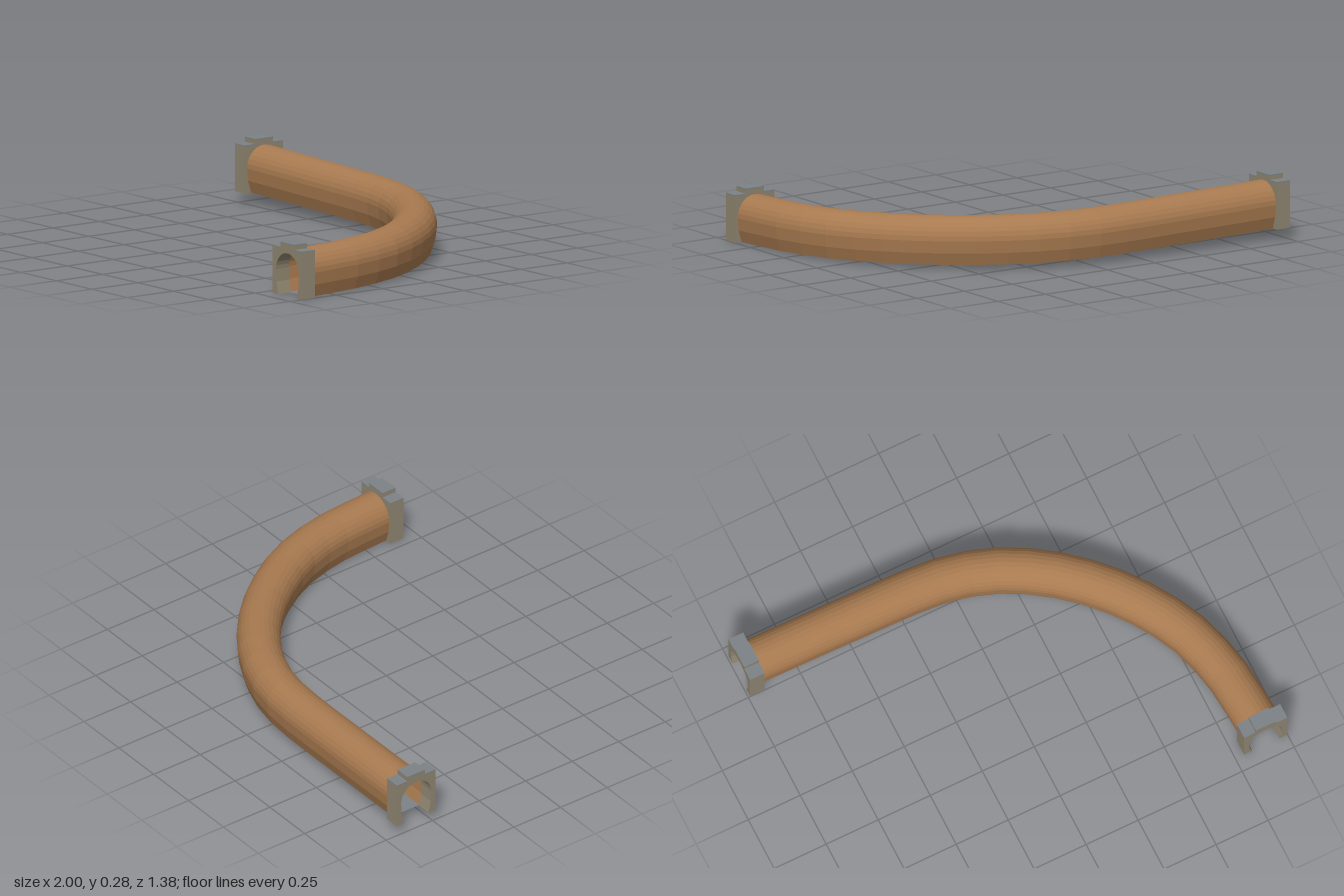
import * as THREE from 'three';

const brick = new THREE.MeshStandardMaterial({ name: 'brown brick', color: 0xa87a50, flatShading: true, side: THREE.DoubleSide });
const stone = new THREE.MeshStandardMaterial({ name: 'tan stone', color: 0x8f8570, flatShading: true });
const slate = new THREE.MeshStandardMaterial({ name: 'grey slate', color: 0x7c8286, flatShading: true, side: THREE.DoubleSide });

const RISE = 0.05;

// Plan of the tunnel centreline, straight run then a quarter bend
const path = new THREE.CatmullRomCurve3([
  [-0.93, -0.591], [-0.5, -0.585], [-0.1, -0.574], [0.05, -0.552], [0.217, -0.495], [0.4, -0.387],
  [0.559, -0.249], [0.69, -0.09], [0.8, 0.1], [0.868, 0.33], [0.895, 0.62],
].map(([x, z]) => new THREE.Vector3(x, 0, z)), false, 'centripetal');

// Horseshoe section from right foot over the crown to left foot
function horseshoe(foot, radius, centreY, steps) {
  const pts = [[foot, 0], [(foot + radius) / 2 + 0.006, centreY * 0.5]];
  for (let i = 0; i <= steps; i++) {
    const a = Math.PI * i / steps;
    pts.push([radius * Math.cos(a), centreY + radius * Math.sin(a)]);
  }
  pts.push([-pts[1][0], pts[1][1]], [-foot, 0]);
  return pts;
}

// Sweep an open section along the centreline, descending evenly
function sweep(section, rings) {
  const pos = [], index = [], n = section.length;
  for (let i = 0; i <= rings; i++) {
    const t = i / rings;
    const p = path.getPointAt(t), d = path.getTangentAt(t);
    for (const [u, v] of section) pos.push(p.x - d.z * u, RISE * (1 - t) + v, p.z + d.x * u);
  }
  for (let i = 0; i < rings; i++) {
    for (let j = 0; j < n - 1; j++) {
      const a = i * n + j, b = a + n;
      index.push(a, a + 1, b, a + 1, b + 1, b);
    }
  }
  const g = new THREE.BufferGeometry();
  g.setAttribute('position', new THREE.Float32BufferAttribute(pos, 3));
  g.setIndex(index);
  g.computeVertexNormals();
  return g;
}

function mesh(name, geometry, material, x = 0, y = 0, z = 0) {
  const m = new THREE.Mesh(geometry, material);
  m.name = name;
  m.position.set(x, y, z);
  return m;
}

// Stone gateway with a raised keystone block and slate caps
function portal(name) {
  const g = new THREE.Group();
  g.name = name;
  const W = 0.104, K = 0.048, H = 0.206, T = 0.228, D = 0.07, cap = 0.004;
  const outline = [[-0.065, 0], [-W, 0], [-W, H], [-K, H], [-K, T], [K, T], [K, H], [W, H], [W, 0]];
  const opening = horseshoe(0.065, 0.081, 0.107, 14).slice(0, -1);
  const shape = new THREE.Shape([...outline, ...opening].map(([x, y]) => new THREE.Vector2(x, y)));
  const body = new THREE.ExtrudeGeometry(shape, { depth: D, bevelEnabled: false });
  g.add(mesh('archBlock', body, stone, 0, 0, -D / 2));
  g.add(mesh('keystoneCap', new THREE.BoxGeometry(2 * K, cap, D), slate, 0, T + cap / 2, 0));
  for (const s of [-1, 1]) {
    g.add(mesh('shoulderCap', new THREE.BoxGeometry(W - K, cap, D), slate, s * (W + K) / 2, H + cap / 2, 0));
  }
  return g;
}

export function createModel() {
  const model = new THREE.Group();
  model.name = 'curvedTunnel';

  // Vault and floor
  model.add(mesh('tunnelVault', sweep(horseshoe(0.072, 0.095, 0.108, 14), 20), brick));
  model.add(mesh('tunnelFloor', sweep([[-0.072, 0.001], [0.072, 0.001]], 20), slate));

  // Gateways at both ends
  const front = portal('frontPortal');
  front.position.set(0.896, 0, 0.65);
  const side = portal('sidePortal');
  side.position.set(-0.965, RISE, -0.588);
  side.rotation.y = -Math.PI / 2;
  model.add(front, side);
  return model;
}
